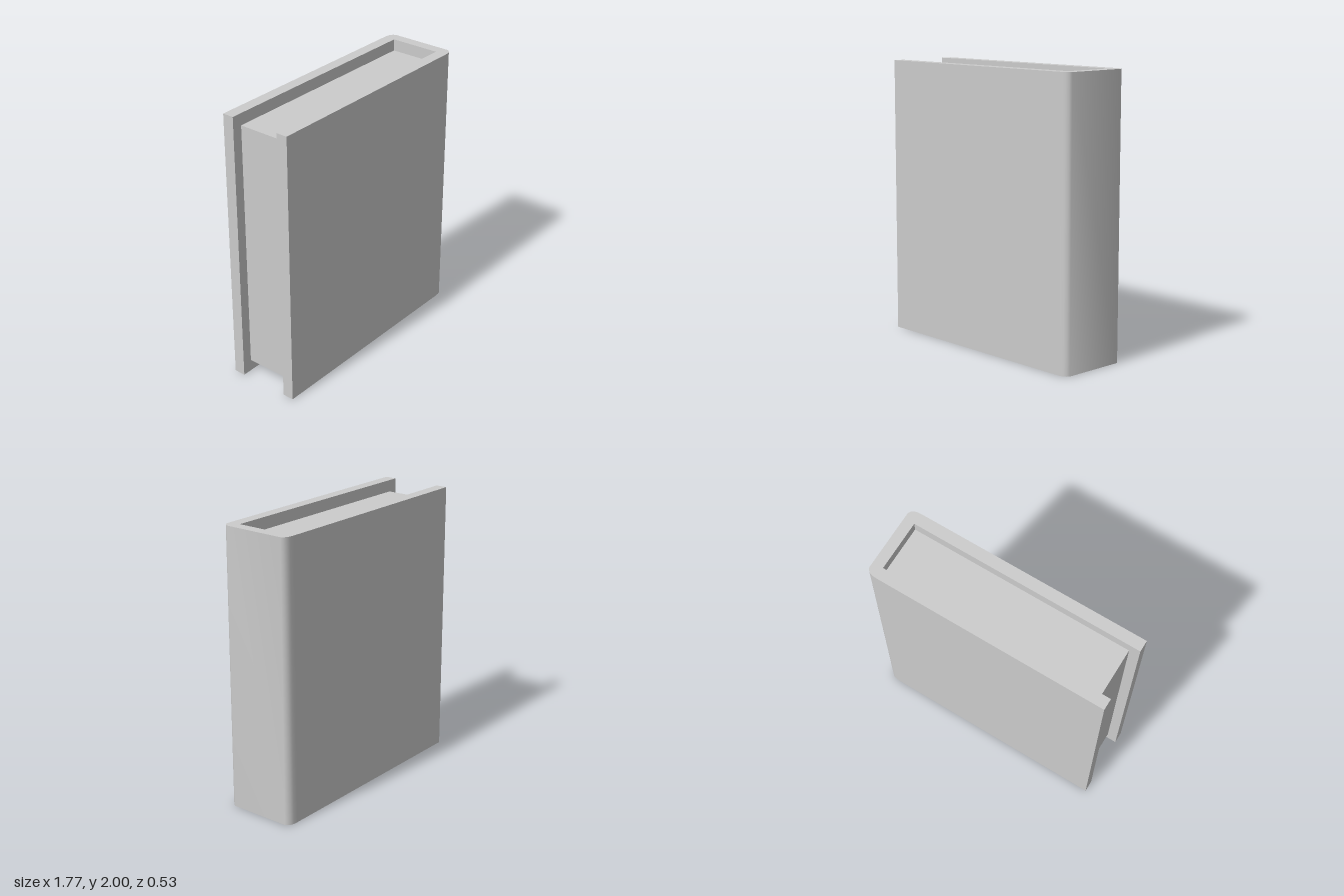
import * as THREE from 'three';
import { toCreasedNormals } from 'three/addons/utils/BufferGeometryUtils.js';

const HEIGHT = 2;
const RECESS = 0.085; // pages sit below the cover edges
const material = new THREE.MeshStandardMaterial({ color: 0xcccccc });

// U-shaped cover, open at the fore edge, with softened spine corners
function createCover() {
  const half = [
    [-0.883, 0.184], [-0.883, 0.267], [0.8, 0.267],
    [0.832, 0.265], [0.855, 0.259], [0.872, 0.245], [0.883, 0.228],
  ];
  const outer = half.map(([x, y]) => new THREE.Vector2(x, y));
  const mirrored = half.map(([x, y]) => new THREE.Vector2(x, -y)).reverse();
  const inner = [new THREE.Vector2(0.805, -0.184), new THREE.Vector2(0.805, 0.184)];
  const shape = new THREE.Shape([...outer, ...mirrored, ...inner]);
  const geometry = new THREE.ExtrudeGeometry(shape, { depth: HEIGHT, bevelEnabled: false });
  geometry.rotateX(-Math.PI / 2);
  const cover = new THREE.Mesh(toCreasedNormals(geometry, 1), material);
  cover.name = 'cover';
  return cover;
}

// Solid page block between the boards
function createPages() {
  const geometry = new THREE.BoxGeometry(1.615, HEIGHT - 2 * RECESS, 0.368);
  const pages = new THREE.Mesh(geometry, material);
  pages.name = 'pages';
  pages.position.set(-0.0025, HEIGHT / 2, 0);
  return pages;
}

export function createModel() {
  const book = new THREE.Group();
  book.name = 'book';
  book.add(createCover(), createPages());
  return book;
}
